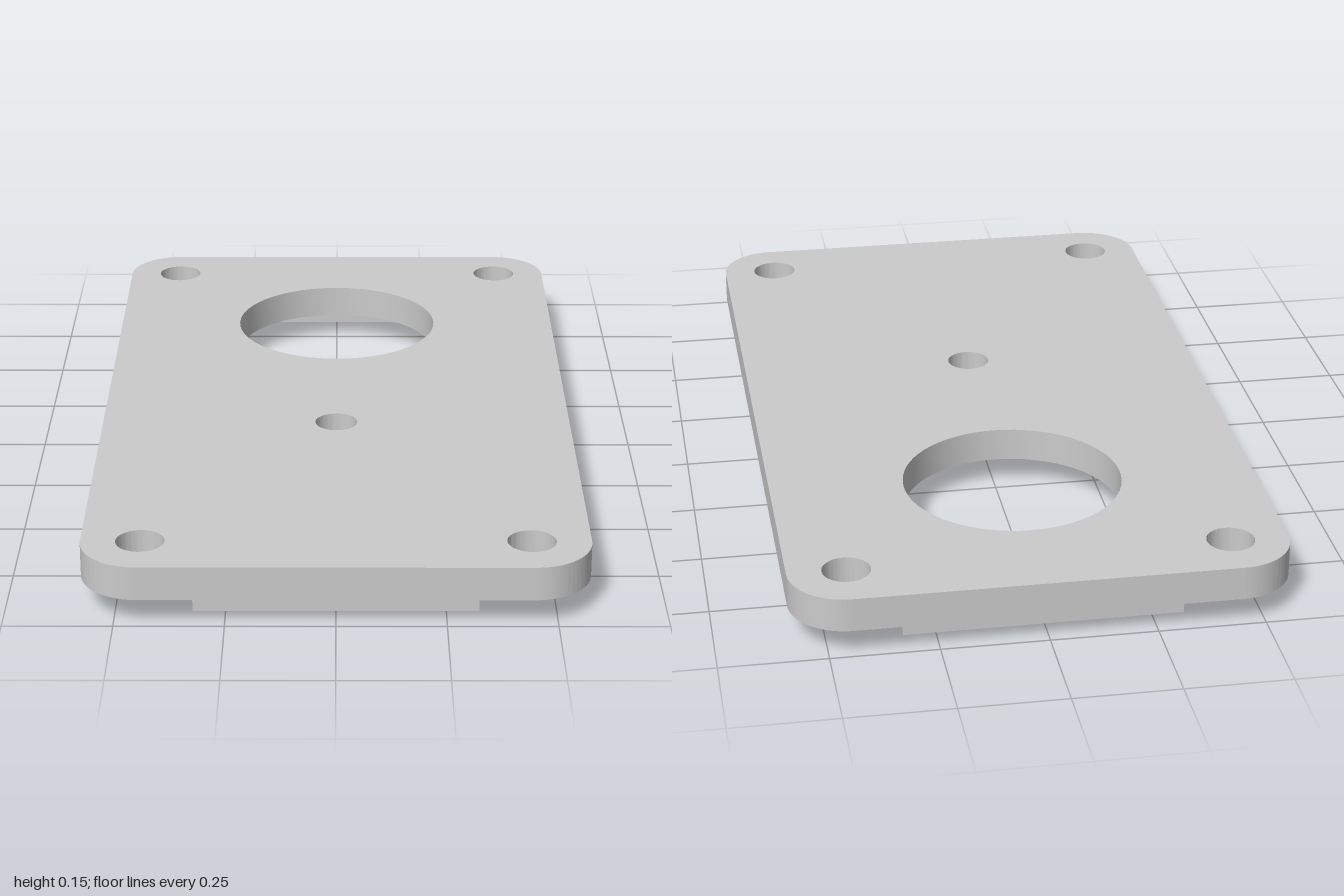
import * as THREE from 'three';
import { toCreasedNormals } from 'three/addons/utils/BufferGeometryUtils.js';

const HALF_W = 0.58, HALF_L = 1, CORNER = 0.135;
const PLATE_BOTTOM = 0.066, PLATE_TOP = 0.147;

function roundedRect(w, l, r) {
  const s = new THREE.Shape();
  s.absarc(w - r, l - r, r, 0, Math.PI / 2);
  s.absarc(-w + r, l - r, r, Math.PI / 2, Math.PI);
  s.absarc(-w + r, -l + r, r, Math.PI, Math.PI * 1.5);
  s.absarc(w - r, -l + r, r, Math.PI * 1.5, Math.PI * 2);
  s.closePath();
  return s;
}

export function createModel() {
  const group = new THREE.Group();
  group.name = 'coverPlate';
  const material = new THREE.MeshStandardMaterial({ color: 0xcccccc });

  const add = (name, geometry, x = 0, y = 0, z = 0) => {
    const mesh = new THREE.Mesh(geometry, material);
    mesh.name = name;
    mesh.position.set(x, y, z);
    group.add(mesh);
  };

  // Plate with one large opening, a small centre hole and four screw holes
  const outline = roundedRect(HALF_W, HALF_L, CORNER);
  const hole = (x, z, r) =>
    outline.holes.push(new THREE.Path().absarc(x, -z, r, 0, Math.PI * 2, true));
  hole(0, -0.487, 0.262);
  hole(0, 0.19, 0.052);
  for (const sx of [-1, 1]) for (const sz of [-1, 1]) hole(sx * 0.444, sz * 0.865, 0.056);

  const plate = new THREE.ExtrudeGeometry(outline, {
    depth: PLATE_TOP - PLATE_BOTTOM, bevelEnabled: false, curveSegments: 32,
  });
  plate.rotateX(-Math.PI / 2);
  add('plate', toCreasedNormals(plate, Math.PI / 6), 0, PLATE_BOTTOM, 0);

  // Locating ribs under the plate, one along each edge
  const sideRib = new THREE.BoxGeometry(0.064, PLATE_BOTTOM, 1.486);
  const endRib = new THREE.BoxGeometry(0.65, PLATE_BOTTOM, 0.064);
  const y = PLATE_BOTTOM / 2;
  add('leftRib', sideRib, 0.474, y, 0);
  add('rightRib', sideRib, -0.474, y, 0);
  add('frontRib', endRib, 0, y, 0.893);
  add('backRib', endRib, 0, y, -0.893);

  return group;
}
